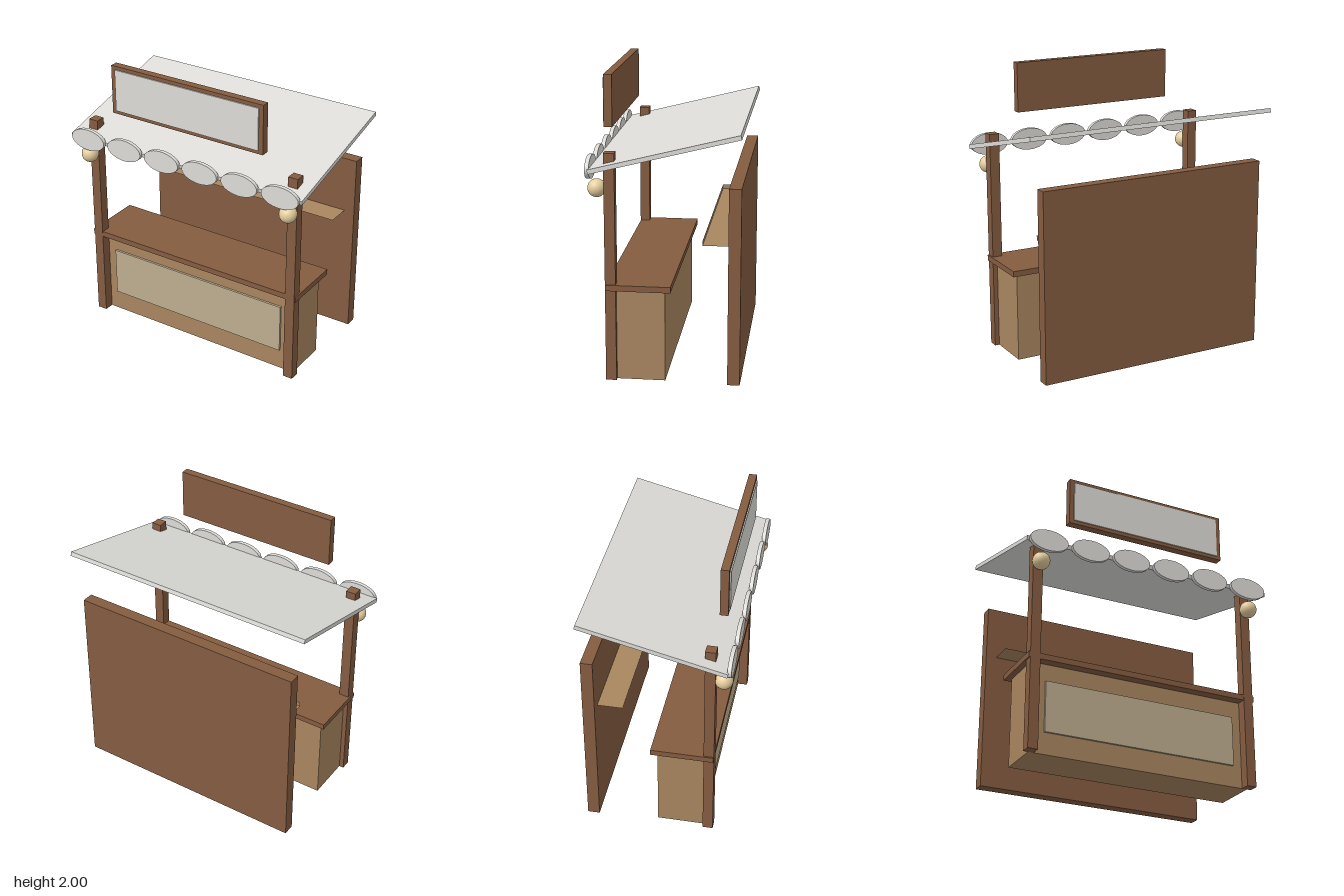
import * as THREE from 'three';

const mat = (name, color) => {
  const m = new THREE.MeshStandardMaterial({ color });
  m.name = name;
  return m;
};

export function createModel() {
  const darkWood = mat('dark wood', 0x855c40);
  const lightWood = mat('light wood', 0xa98660);
  const canvas = mat('pale canvas', 0xdddcd8);
  const panelTone = mat('beige panel', 0xbeae90);
  const lampTone = mat('warm lamp', 0xe8d0a0);

  const stall = new THREE.Group();
  stall.name = 'marketStall';

  const add = (name, geometry, material, x = 0, y = 0, z = 0) => {
    const mesh = new THREE.Mesh(geometry, material);
    mesh.name = name;
    mesh.position.set(x, y, z);
    stall.add(mesh);
    return mesh;
  };
  // Box given by its width, centre x, and its y and z ranges
  const box = (name, material, w, x, y0, y1, z0, z1) =>
    add(name, new THREE.BoxGeometry(w, y1 - y0, z1 - z0), material, x, (y0 + y1) / 2, (z0 + z1) / 2);

  // Counter
  box('counterBody', lightWood, 1.6, 0, 0, 0.62, 0, 0.32);
  box('counterPanel', panelTone, 1.39, 0, 0.15, 0.5, 0.32, 0.335);
  box('counterTop', darkWood, 1.684, 0, 0.62, 0.66, -0.04, 0.387);

  // Back wall and shelf
  box('backWall', darkWood, 1.667, 0, 0, 1.325, -0.495, -0.413);
  box('shelf', lightWood, 1.52, 0, 0.925, 0.957, -0.24, -0.413 + 0.005 - 0.01);

  // Front posts with hanging globe lamps
  for (const [side, s] of [['left', 1], ['right', -1]]) {
    box(side + 'Post', darkWood, 0.07, s * 0.797, 0, 1.535, 0.32, 0.39);
    add(side + 'Lamp', new THREE.SphereGeometry(0.06, 24, 16), lampTone, s * 0.797, 1.3, 0.44);
  }

  // Sloping awning
  const awning = add('awning', new THREE.BoxGeometry(1.834, 0.03, 1.003), canvas, 0, 1.551, -0.008);
  awning.rotation.x = 0.247;

  // Row of oval scallops along the awning's front edge
  const oval = new THREE.CylinderGeometry(1, 1, 0.027, 32)
    .rotateX(Math.PI / 2)
    .scale(0.137, 0.076, 1);
  for (let i = 0; i < 6; i++) {
    add('scallop' + (i + 1), oval, canvas, (i - 2.5) * 0.306, 1.433, 0.486);
  }

  // Sign board
  box('signFrame', darkWood, 1.185, 0, 1.655, 2, 0.37, 0.425);
  box('signPanel', canvas, 1.12, 0, 1.68, 1.975, 0.425, 0.433);

  return stall;
}
